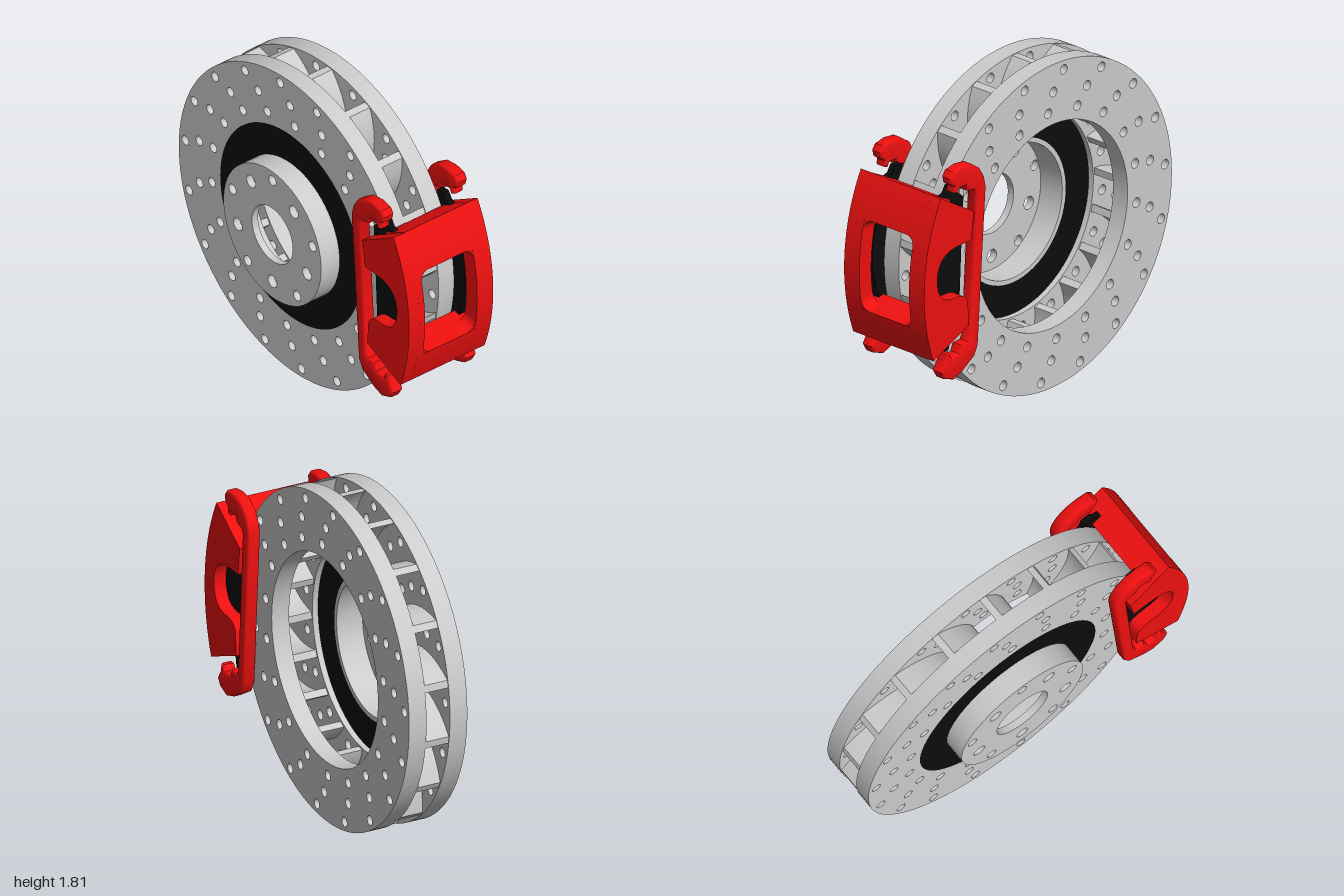
import * as THREE from 'three';
import { toCreasedNormals } from 'three/addons/utils/BufferGeometryUtils.js';

const CX = -0.093, CY = 0.91; // axle position
const DEG = Math.PI / 180;
const mat = (color) => new THREE.MeshStandardMaterial({ color });
const GREY = mat(0xcccccc), BLACK = mat(0x0c0c0c), RED = mat(0xee1010);

const V = (x, y) => new THREE.Vector2(x, y);
const polar = (r, deg) => V(r * Math.cos(deg * DEG), r * Math.sin(deg * DEG));

// points on an arc about (0,0)
function arc(r, a0, a1, n) {
  return Array.from({ length: n + 1 }, (_, i) => polar(r, a0 + ((a1 - a0) * i) / n));
}

function circle(r, n, c = V(0, 0)) {
  return arc(r, 0, 360, n).slice(0, n).map((p) => p.add(c));
}

// flat outline extruded from z0 to z1, optionally with rounded edges
function slab(name, points, z0, z1, material, holes = [], bevel = 0) {
  const shape = new THREE.Shape(points);
  shape.holes = holes.map((h) => new THREE.Path(h));
  const geo = new THREE.ExtrudeGeometry(shape, {
    depth: z1 - z0 - 2 * bevel, bevelEnabled: bevel > 0, bevelThickness: bevel,
    bevelSize: bevel, bevelOffset: -bevel, bevelSegments: 3,
  });
  geo.translate(0, 0, z0 + bevel);
  const mesh = new THREE.Mesh(toCreasedNormals(geo, 0.6), material);
  mesh.name = name;
  return mesh;
}

// outline given in hundredths, relative to the model's base
const outline = (list) => list.map(([x, y]) => V(x / 100 - CX, y / 100 - CY));

function createRotor() {
  const rotor = new THREE.Group();
  rotor.name = 'rotor';

  // cross drilled friction rings
  const drills = [];
  for (const [r, offset] of [[0.855, 15.8], [0.75, 10.6], [0.642, 7.2]]) {
    for (let i = 0; i < 18; i++) drills.push(circle(0.027, 14, polar(r, offset + i * 20)));
  }
  const bore = circle(0.57, 80);
  rotor.add(slab('frontDisc', circle(0.905, 96), 0.068, 0.169, GREY, [bore, ...drills]));
  rotor.add(slab('backDisc', circle(0.905, 96), -0.169, -0.068, GREY, [bore, ...drills]));

  // curved cooling vanes between the rings
  const left = [], right = [];
  for (let i = 0; i <= 8; i++) {
    const r = 0.58 + i * 0.04;
    const a = 5.5 + 13 * Math.pow((r - 0.56) / 0.34, 1.6) - 10;
    const half = 0.02 / r / DEG;
    right.push(polar(r, a - half));
    left.unshift(polar(r, a + half));
  }
  const vane = slab('vane', [...right, ...left], -0.068, 0.068, GREY);
  for (let i = 0; i < 18; i++) {
    const copy = vane.clone();
    copy.rotation.z = i * 20 * DEG;
    rotor.add(copy);
  }

  // dark web and raised hub hat
  rotor.add(slab('web', bore, 0.1, 0.169, BLACK, [circle(0.395, 64)]));
  rotor.add(slab('hatWall', circle(0.395, 64), 0.1, 0.25, GREY, [circle(0.37, 64)]));
  const bolts = [];
  for (let i = 0; i < 5; i++) {
    bolts.push(circle(0.036, 18, polar(0.294, -90 + i * 72)));
    bolts.push(circle(0.029, 18, polar(0.34, 90 + i * 72)));
  }
  rotor.add(slab('hatFace', circle(0.395, 64), 0.25, 0.29, GREY, [circle(0.165, 48), ...bolts]));
  return rotor;
}

// rounded inner corner of the caliper window, bent round the axle
function windowFillet(angle, z, sa, sz) {
  const size = 0.055;
  const pts = [V(0, 0), V(size, 0)];
  for (let i = 1; i <= 8; i++) {
    const t = (i / 8) * Math.PI / 2;
    pts.push(V(size - size * Math.sin(t), size - size * Math.cos(t)));
  }
  const shape = new THREE.Shape(pts.map((p) => V(p.x * sa, p.y * sz)));
  const geo = new THREE.ExtrudeGeometry(shape, { depth: 0.089, bevelEnabled: false });
  const pos = geo.attributes.position;
  for (let i = 0; i < pos.count; i++) {
    const p = polar(1.0 + pos.getZ(i), angle + pos.getX(i) / 1.09 / DEG);
    pos.setXYZ(i, p.x, p.y, z + pos.getY(i));
  }
  const mesh = new THREE.Mesh(toCreasedNormals(geo, 0.6), RED);
  mesh.name = 'windowFillet';
  return mesh;
}

function createCaliper() {
  const caliper = new THREE.Group();
  caliper.name = 'caliper';
  const A0 = -20.6, A1 = 27.9; // angular span of the body
  const W0 = -11.2, W1 = 15.4; // angular span of the window
  const sector = (r0, r1, a0, a1) => [...arc(r1, a0, a1, 16), ...arc(r0, a1, a0, 16)];

  // side arm with a U-shaped cutout
  const cutout = new THREE.SplineCurve(outline([
    [64, 111], [72, 111], [79, 110.5], [86, 107], [89.5, 100], [89.3, 92], [86, 85.5],
    [80, 83], [73, 82.5], [68.5, 80.5], [66.5, 77],
  ])).getPoints(36);
  const arm = [
    ...arc(1.09, A0, A1, 24), ...outline([[62, 126.5]]), ...cutout, ...outline([[66, 64]]),
  ];

  // hooked bracket beside each arm
  const bracket = outline([
    [52.3, 137.5], [53.5, 143], [57, 149], [63.5, 153.5], [70.5, 154.4], [77, 153.2], [79.3, 150],
    [78.5, 146.5], [75.8, 144.5], [76, 141], [73.8, 140], [72.5, 142.5], [67.5, 142.5],
    [66, 139], [61, 138], [59.8, 135.5], [64.6, 57], [66, 54.5], [71.3, 54.5], [73, 50.2],
    [78.5, 49.8], [80.2, 53], [82.6, 53], [83.5, 48.5], [86.5, 43.8], [84, 39.5], [77, 36.8],
    [70.5, 39], [61, 45], [58.3, 50.5],
  ]);

  // pad with locating tabs, and the thin clip along its edge
  const pad = outline([
    [62.5, 133], [66.5, 136.5], [67.5, 141.5], [72.5, 142], [75, 138], [79, 137], [80, 128],
    [86, 116], [89.5, 104], [90, 92], [87, 78], [83, 66], [79.5, 56], [78.5, 50.5], [73.5, 50.5],
    [72.5, 54.5], [67, 56.5], [65.5, 70],
  ]);
  const clip = outline([[60.2, 137.5], [63.2, 137.5], [67.8, 55], [64.8, 55]]);

  for (const s of [1, -1]) {
    const side = (name, pts, z0, z1, m, bevel) =>
      slab(name, pts, s > 0 ? z0 : -z1, s > 0 ? z1 : -z0, m, [], bevel);
    caliper.add(side('arm', arm, 0.207, 0.277, RED));
    caliper.add(side('bracket', bracket, 0.207, 0.277, RED, 0.015));
    caliper.add(side('brakePad', pad, 0.171, 0.206, BLACK));
    caliper.add(side('padClip', clip, 0.173, 0.19, GREY));
    caliper.add(side('windowRail', sector(1.0, 1.09, W0, W1), 0.172, 0.207, RED));
    caliper.add(windowFillet(W0, s * 0.172, 1, -s));
    caliper.add(windowFillet(W1, s * 0.172, -1, -s));
  }

  // bridge ends joining both arms over the rotor
  caliper.add(slab('lowerBridge', sector(0.925, 1.09, A0, W0), -0.207, 0.207, RED));
  caliper.add(slab('upperBridge', sector(0.925, 1.09, W1, A1), -0.207, 0.207, RED));
  return caliper;
}

export function createModel() {
  const model = new THREE.Group();
  model.name = 'discBrake';
  model.add(createRotor(), createCaliper());
  model.position.set(CX, CY, -0.007);
  const root = new THREE.Group();
  root.name = 'discBrakeAssembly';
  root.add(model);
  return root;
}
